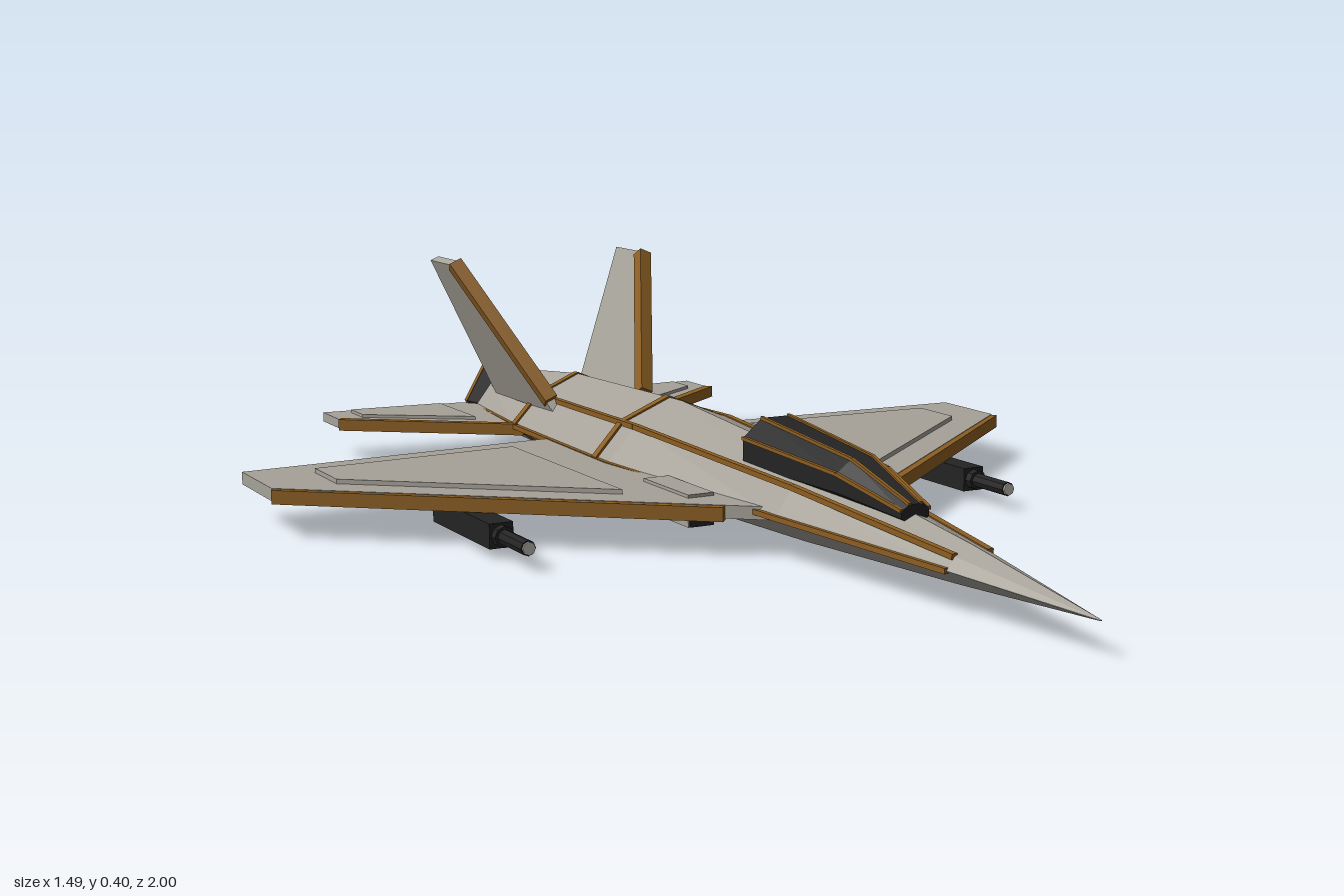
import * as THREE from 'three';

const mat = (name, color) => {
  const m = new THREE.MeshStandardMaterial({ color, flatShading: true });
  m.name = name;
  return m;
};

// Fuselage stations: z, shoulder x, widest x, bottom x, ridge y, shoulder y, widest y, bottom y
const STATIONS = [
  [1.0, 0.001, 0.001, 0.001, 0.061, 0.06, 0.06, 0.059],
  [0.7, 0.032, 0.046, 0.02, 0.104, 0.09, 0.07, 0.046],
  [0.3, 0.068, 0.1, 0.042, 0.15, 0.125, 0.078, 0.033],
  [-0.2, 0.095, 0.152, 0.062, 0.187, 0.148, 0.085, 0.025],
  [-0.64, 0.083, 0.137, 0.058, 0.178, 0.142, 0.085, 0.03],
  [-0.9, 0.07, 0.105, 0.05, 0.152, 0.128, 0.083, 0.037],
];

function station(z) {
  let i = 0;
  while (i < STATIONS.length - 2 && z < STATIONS[i + 1][0]) i++;
  const a = STATIONS[i], b = STATIONS[i + 1];
  const t = (a[0] - z) / (a[0] - b[0]);
  return a.map((v, k) => v + (b[k] - v) * t);
}

// Cross-section running clockwise as seen from the front
function bodyRing([z, sx, wx, bx, ty, sy, wy, by], grow = 1) {
  return [[0, ty], [sx, sy], [wx, wy], [bx, by], [-bx, by], [-wx, wy], [-sx, sy]]
    .map(([x, y]) => [x * grow, 0.09 + (y - 0.09) * grow, z]);
}

// Skin over rings listed from front to back, with both ends closed
function loft(rings) {
  const n = rings[0].length, last = (rings.length - 1) * n, index = [];
  for (let i = 0; i < rings.length - 1; i++) {
    for (let j = 0; j < n; j++) {
      const a = i * n + j, b = i * n + (j + 1) % n;
      index.push(a, b, b + n, a, b + n, a + n);
    }
  }
  for (let k = 1; k < n - 1; k++) index.push(0, k + 1, k, last, last + k, last + k + 1);
  const g = new THREE.BufferGeometry();
  g.setAttribute('position', new THREE.Float32BufferAttribute(rings.flat(2), 3));
  g.setIndex(index);
  g.computeVertexNormals();
  return g;
}

// Horizontal plate from an [x, z] outline
function plate(points, y0, y1) {
  const shape = new THREE.Shape(points.map(([x, z]) => new THREE.Vector2(x, -z)));
  return new THREE.ExtrudeGeometry(shape, { depth: y1 - y0, bevelEnabled: false })
    .rotateX(-Math.PI / 2).translate(0, y0, 0);
}

// Straight bar between two points
function bar(a, b, w, h) {
  const p = new THREE.Vector3(...a), q = new THREE.Vector3(...b);
  const g = new THREE.BoxGeometry(w, h, p.distanceTo(q));
  const m = new THREE.Matrix4().lookAt(q, p, new THREE.Vector3(0, 1, 0));
  m.setPosition(p.add(q).multiplyScalar(0.5));
  return g.applyMatrix4(m);
}

export function createModel() {
  const grey = mat('hull grey', 0xa6a299);
  const bronze = mat('bronze trim', 0x8c5e22);
  const dark = mat('dark metal', 0x242424);
  const pale = mat('pale tip', 0xc4c2bb);
  const model = new THREE.Group();
  model.name = 'jet';
  const add = (name, geometry, material, parent = model) => {
    const mesh = new THREE.Mesh(geometry, material);
    mesh.name = name;
    parent.add(mesh);
    return mesh;
  };

  // Fuselage and the bands around it
  add('fuselage', loft(STATIONS.map((s) => bodyRing(s))), grey);
  for (const z of [-0.255, -0.64]) {
    add('bodyBand', loft([z + 0.009, z - 0.009].map((v) => bodyRing(station(v), 1.035))), bronze);
  }

  // Canopy with ribs along its edges
  const canopyRings = [[0.55, 0.026, 0.122, 0.015], [0.4, 0.05, 0.147, 0.036], [0.13, 0.064, 0.155, 0.053]]
    .map(([z, w, y, h]) => Array.from({ length: 8 }, (_, k) => {
      const a = (k + 0.5) * Math.PI / 4;
      return [Math.sin(a) * w * 1.05, y + Math.cos(a) * h * 1.08, z];
    }));
  add('canopy', loft(canopyRings), dark);
  for (const k of [0, 1, 6, 7]) {
    for (let i = 0; i < 2; i++) {
      add('canopyRib', bar(canopyRings[i][k], canopyRings[i + 1][k], 0.006, 0.006), bronze);
    }
  }

  // Six-sided exhaust nozzle
  const hex = (r0, r1, z0, z1) => new THREE.CylinderGeometry(r0, r1, z0 - z1, 6)
    .rotateY(Math.PI / 6).rotateX(Math.PI / 2).translate(0, 0.08, (z0 + z1) / 2);
  add('nozzle', hex(0.07, 0.087, -0.885, -0.988), dark);
  add('nozzleRim', hex(0.088, 0.088, -0.986, -0.998), bronze);
  add('nozzleFace', hex(0.073, 0.073, -0.99, -1.0), grey);

  for (const s of [1, -1]) {
    const side = new THREE.Group();
    side.name = s > 0 ? 'leftSide' : 'rightSide';
    model.add(side);
    const flat = (name, pts, y0, y1) =>
      add(name, plate(pts.map(([x, z]) => [x * s, z]), y0, y1), grey, side);
    const beam = (name, a, b, w, h) =>
      add(name, bar([a[0] * s, a[1], a[2]], [b[0] * s, b[1], b[2]], w, h), bronze, side);

    // Main wing
    flat('wing', [[0.08, 0.27], [0.74, -0.275], [0.74, -0.437], [0.08, -0.47]], 0.066, 0.088);
    flat('wingPanel', [[0.25, 0.058], [0.632, -0.258], [0.632, -0.367], [0.25, -0.387]], 0.086, 0.096);
    beam('wingLeadingEdge', [0.148, 0.075, 0.22], [0.738, 0.075, -0.272], 0.02, 0.024);

    // Tailplane
    flat('tailplane', [[0.06, -0.575], [0.413, -0.852], [0.413, -0.95], [0.125, -0.927], [0.06, -0.85]], 0.07, 0.088);
    flat('tailplanePanel', [[0.18, -0.725], [0.365, -0.855], [0.365, -0.922], [0.18, -0.906]], 0.086, 0.094);
    beam('tailplaneLeadingEdge', [0.12, 0.079, -0.625], [0.413, 0.079, -0.852], 0.018, 0.022);

    // Trim lines along the shoulder and the widest edge
    const zs = [0.7, 0.3, -0.2, -0.64, -0.88];
    for (let i = 0; i < zs.length - 1; i++) {
      const a = station(zs[i]), b = station(zs[i + 1]);
      beam('shoulderTrim', [a[1], a[5], a[0]], [b[1], b[5], b[0]], 0.011, 0.009);
      beam('sideTrim', [a[2], a[6], a[0]], [b[2], b[6], b[0]], 0.008, 0.009);
    }

    // Canted fin, built upright and then leaned outwards
    const fin = new THREE.Group();
    fin.name = 'fin';
    fin.position.set(0.1 * s, 0.145, 0);
    fin.rotation.z = -0.4 * s;
    side.add(fin);
    const outline = [[0.53, -0.02], [0.755, 0.272], [0.855, 0.272], [0.805, -0.02]];
    const finShape = new THREE.Shape(outline.map(([u, v]) => new THREE.Vector2(u, v)));
    add('finBlade', new THREE.ExtrudeGeometry(finShape, { depth: 0.018, bevelEnabled: false })
      .translate(0, 0, -0.009).rotateY(Math.PI / 2), grey, fin);
    add('finLeadingEdge', bar([0, 0, -0.545], [0, 0.27, -0.752], 0.026, 0.024), bronze, fin);

    // Air intake beside the body
    add('intake', new THREE.BoxGeometry(0.048, 0.055, 0.16).translate(0.147 * s, 0.066, 0.06), grey, side);
    add('intakeMouth', new THREE.BoxGeometry(0.044, 0.048, 0.006).translate(0.147 * s, 0.063, 0.14), dark, side);

    // Store slung under the wing
    const store = new THREE.Group();
    store.name = 'underwingStore';
    store.position.set(0.465 * s, 0.041, 0);
    side.add(store);
    const tube = (r, z0, z1) => new THREE.CylinderGeometry(r, r, z0 - z1, 8)
      .rotateX(Math.PI / 2).translate(0, 0, (z0 + z1) / 2);
    add('storeBody', new THREE.BoxGeometry(0.042, 0.042, 0.24).translate(0, 0, -0.07), dark, store);
    add('storeCollar', tube(0.018, 0.065, 0.04), dark, store);
    add('storeBarrel', tube(0.013, 0.155, 0.04), dark, store);
    add('storeTip', tube(0.011, 0.159, 0.15), pale, store);
  }
  return model;
}
